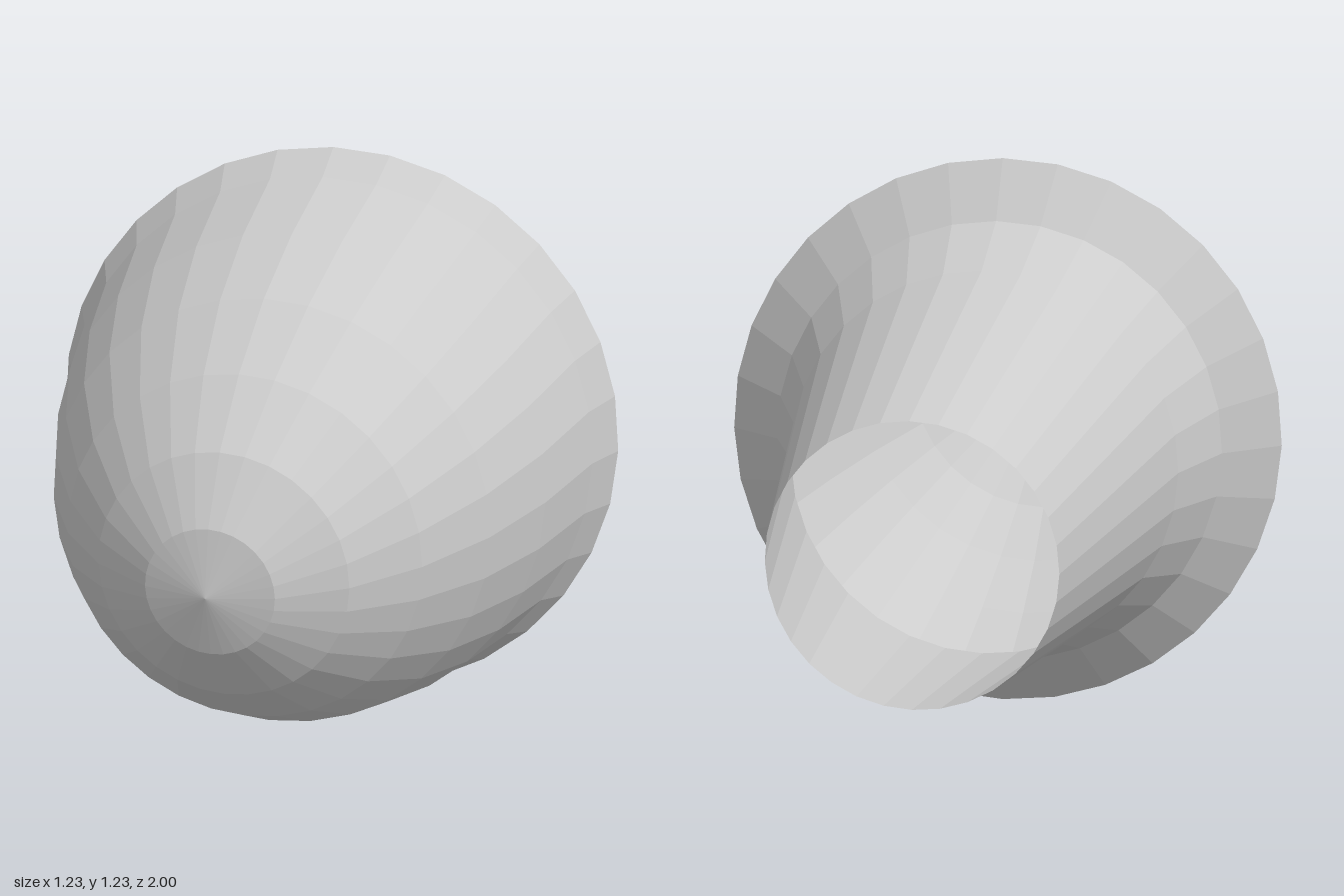
import * as THREE from 'three';

const SEGMENTS = 32;
const RADIUS = 0.615;

// Turned part lying along z; profile pairs are [radius, z], ordered back to front
function turned(name, profile, material) {
  const points = profile.map(([r, z]) => new THREE.Vector2(r, z));
  const geometry = new THREE.LatheGeometry(points, SEGMENTS);
  geometry.rotateX(Math.PI / 2);
  const mesh = new THREE.Mesh(geometry, material);
  mesh.name = name;
  mesh.position.y = RADIUS;
  return mesh;
}

export function createModel() {
  const group = new THREE.Group();
  group.name = 'bulb';
  const material = new THREE.MeshStandardMaterial({
    color: 0xcccccc, flatShading: true, side: THREE.DoubleSide,
  });

  // Hollow tapered stem, open at the back, flaring out to the rim
  group.add(turned('stem', [
    [0.26, -1], [0.41, -0.225], [0.49, -0.03], [RADIUS, 0.065],
  ], material));

  // Domed head from the rim to the tip
  group.add(turned('head', [
    [RADIUS, 0.065], [0.572, 0.155], [0.512, 0.395], [0.437, 0.6],
    [0.342, 0.77], [0.236, 0.895], [0.12, 0.972], [0, 1],
  ], material));

  return group;
}
